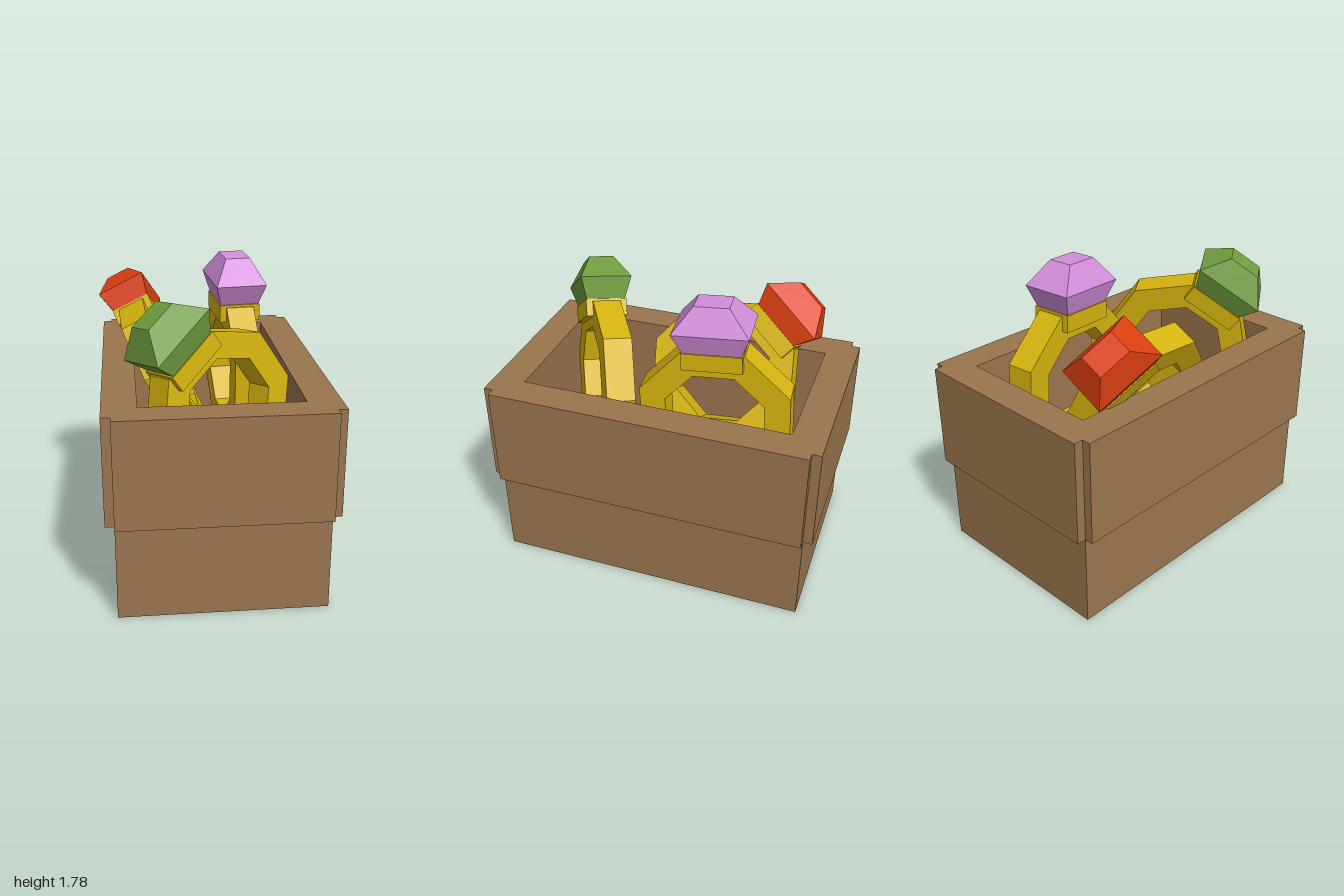
import * as THREE from 'three';

const mat = (name, color, side = THREE.FrontSide) => {
  const m = new THREE.MeshStandardMaterial({ color, side });
  m.name = name;
  return m;
};

// Stack of rectangles [halfX, halfZ, y] joined by flat faces, closed at the last one
function rectLoft(sections, closeStart) {
  const pos = [];
  const loops = sections.map(([x, z, y]) => [[x, y, z], [x, y, -z], [-x, y, -z], [-x, y, z]]);
  const quad = (a, b, c, d) => pos.push(...a, ...b, ...c, ...a, ...c, ...d);
  for (let s = 0; s < loops.length - 1; s++) {
    const a = loops[s], b = loops[s + 1];
    for (let i = 0; i < 4; i++) {
      const j = (i + 1) % 4;
      quad(a[i], a[j], b[j], b[i]);
    }
  }
  quad(...loops[loops.length - 1]);
  if (closeStart) quad(...loops[0].slice().reverse());
  const g = new THREE.BufferGeometry();
  g.setAttribute('position', new THREE.Float32BufferAttribute(pos, 3));
  g.computeVertexNormals();
  return g;
}

// Eight corners with flat sides at the given distance from the centre
function octagon(apothem) {
  const r = apothem / Math.cos(Math.PI / 8);
  return Array.from({ length: 8 }, (_, k) => {
    const a = Math.PI / 8 + (k * Math.PI) / 4;
    return new THREE.Vector2(r * Math.cos(a), r * Math.sin(a));
  });
}

export function createModel() {
  const model = new THREE.Group();
  const wood = mat('brown box', 0x9a754e, THREE.DoubleSide);
  const gold = mat('yellow gold', 0xd6b40f);
  const add = (parent, name, geometry, material, x = 0, y = 0, z = 0) => {
    const m = new THREE.Mesh(geometry, material);
    m.name = name;
    m.position.set(x, y, z);
    parent.add(m);
    return m;
  };

  // Box: thin outer walls, flat rim and a sunken tray, open underneath
  const box = new THREE.Group();
  box.name = 'box';
  box.position.x = 0.004;
  model.add(box);
  add(box, 'boxShell', rectLoft([
    [0.593, 0.945, 0], [0.593, 0.945, 1.19], [0.452, 0.807, 1.19], [0.452, 0.807, 0.3],
  ], false), wood);

  // Raised panels around the upper half
  const panelH = 0.625, panelY = 1.19 - panelH / 2;
  for (const s of [-1, 1]) {
    add(box, 'sidePanel', new THREE.BoxGeometry(0.052, panelH, 1.89), wood, s * 0.619, panelY, 0);
    add(box, 'endPanel', new THREE.BoxGeometry(1.186, panelH, 0.055), wood, 0, panelY, s * 0.9725);
  }

  // Ring parts shared by all three rings
  const bandShape = new THREE.Shape(octagon(0.44));
  bandShape.holes.push(new THREE.Path(octagon(0.29).reverse()));
  const bandGeo = new THREE.ExtrudeGeometry(bandShape, { depth: 0.17, bevelEnabled: false });
  bandGeo.translate(0, 0, -0.085);
  const plateGeo = new THREE.BoxGeometry(0.35, 0.105, 0.25);
  const gemGeo = rectLoft([
    [0.165, 0.118, 0], [0.22, 0.155, 0.128], [0.1, 0.075, 0.272],
  ], true);

  // centre, direction to the gem, axis through the hole, gem material
  const rings = [
    ['pinkRing', [0.195, 1.05, -0.305], [0, 0.998, 0.05], [0.994, 0, -0.107], mat('pink gem', 0xd48fdc)],
    ['redRing', [-0.25, 1.05, -0.22], [-0.345, 0.68, -0.643], [0.89, 0.45, 0], mat('red gem', 0xdb3e10)],
    ['greenRing', [0.025, 1.05, 0.48], [-0.52, 0.815, 0.244], [0.54, 0.12, 0.83], mat('green gem', 0x709c3e)],
  ];
  for (const [name, centre, up, axis, gemMat] of rings) {
    const ring = new THREE.Group();
    ring.name = name;
    const u = new THREE.Vector3(...up).normalize();
    const t = u.clone().cross(new THREE.Vector3(...axis)).normalize();
    const n = t.clone().cross(u);
    ring.quaternion.setFromRotationMatrix(new THREE.Matrix4().makeBasis(t, u, n));
    ring.position.set(...centre);
    add(ring, 'band', bandGeo, gold);
    add(ring, 'setting', plateGeo, gold, 0, 0.4025, 0);
    add(ring, 'gem', gemGeo, gemMat, 0, 0.455, 0);
    model.add(ring);
  }
  return model;
}
